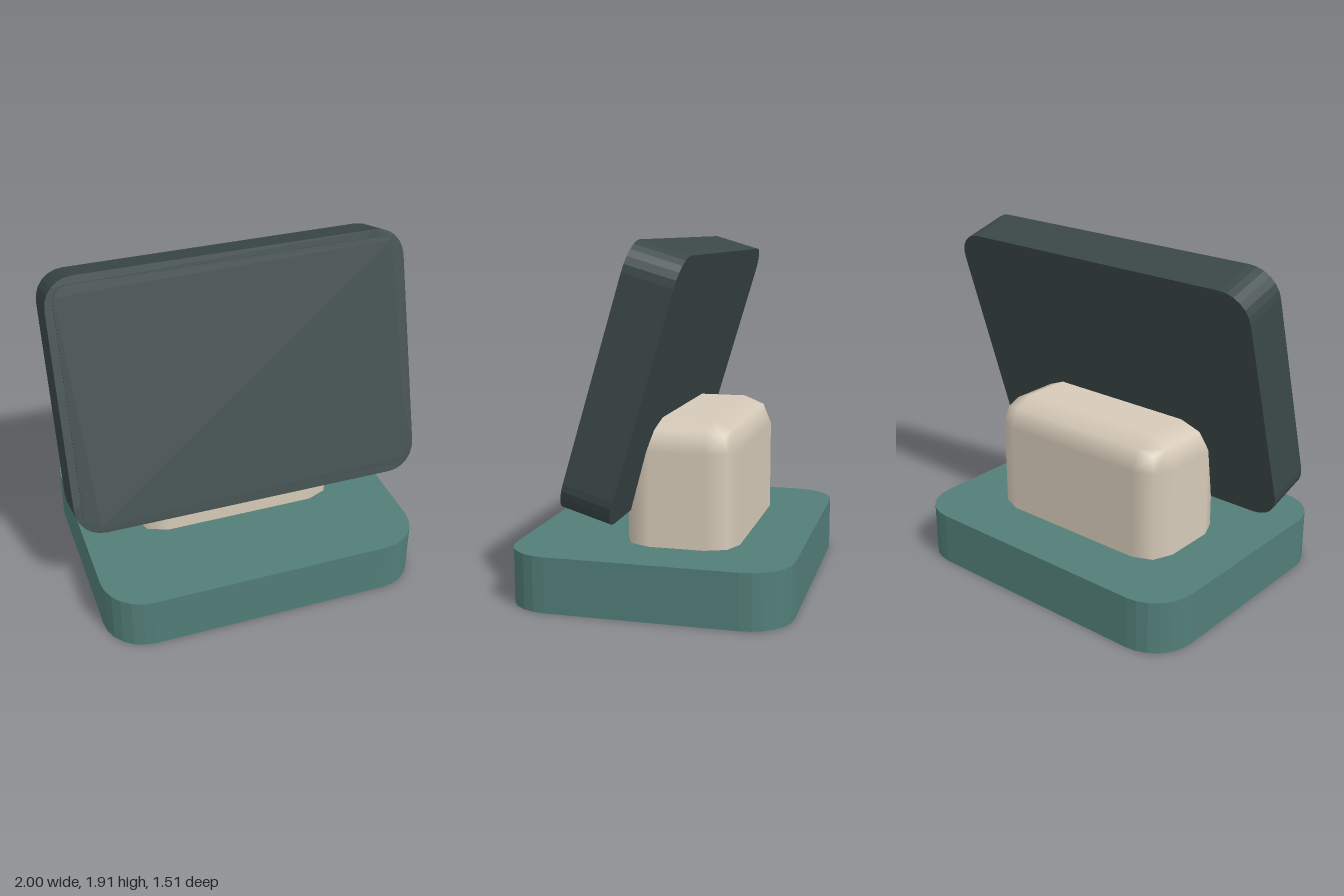
import * as THREE from 'three';
import { RoundedBoxGeometry } from 'three/addons/geometries/RoundedBoxGeometry.js';

// Flat slab with rounded corners in x/y, extruded along z and centred
function slab(w, h, depth, r, segments) {
  const x = w / 2 - r, y = h / 2 - r;
  const shape = new THREE.Shape();
  shape.absarc(x, y, r, 0, Math.PI / 2);
  shape.absarc(-x, y, r, Math.PI / 2, Math.PI);
  shape.absarc(-x, -y, r, Math.PI, Math.PI * 1.5);
  shape.absarc(x, -y, r, Math.PI * 1.5, Math.PI * 2);
  shape.closePath();
  const geometry = new THREE.ExtrudeGeometry(shape, { depth, bevelEnabled: false, curveSegments: segments });
  return geometry.translate(0, 0, -depth / 2);
}

function material(name, color) {
  const m = new THREE.MeshStandardMaterial({ color });
  m.name = name;
  return m;
}

function part(name, geometry, mat, parent) {
  const mesh = new THREE.Mesh(geometry, mat);
  mesh.name = name;
  parent.add(mesh);
  return mesh;
}

export function createModel() {
  const teal = material('teal', 0x527e78);
  const cream = material('cream', 0xd6cab8);
  const charcoal = material('charcoal', 0x3b4848);
  const model = new THREE.Group();
  model.name = 'deskDisplay';

  // Base lying flat on the ground
  const base = part('base', slab(1.84, 1.51, 0.3, 0.24, 3), teal, model);
  base.rotation.x = -Math.PI / 2;
  base.position.y = 0.15;

  // Softly rounded support, its lower end sunk into the base
  const support = part('support', new RoundedBoxGeometry(1.2, 0.87, 0.62, 1, 0.16), cream, model);
  support.position.set(0, 0.535, -0.11);

  // Panel leaning back, with a thin raised screen
  const panel = new THREE.Group();
  panel.name = 'panel';
  panel.position.set(0, 1.197, 0.08);
  panel.rotation.x = THREE.MathUtils.degToRad(-16.6);
  model.add(panel);
  part('panelHousing', slab(2, 1.414, 0.27, 0.16, 3), charcoal, panel);
  const screen = part('screen', slab(1.91, 1.33, 0.009, 0.09, 6), charcoal, panel);
  screen.position.z = 0.1395;

  return model;
}
